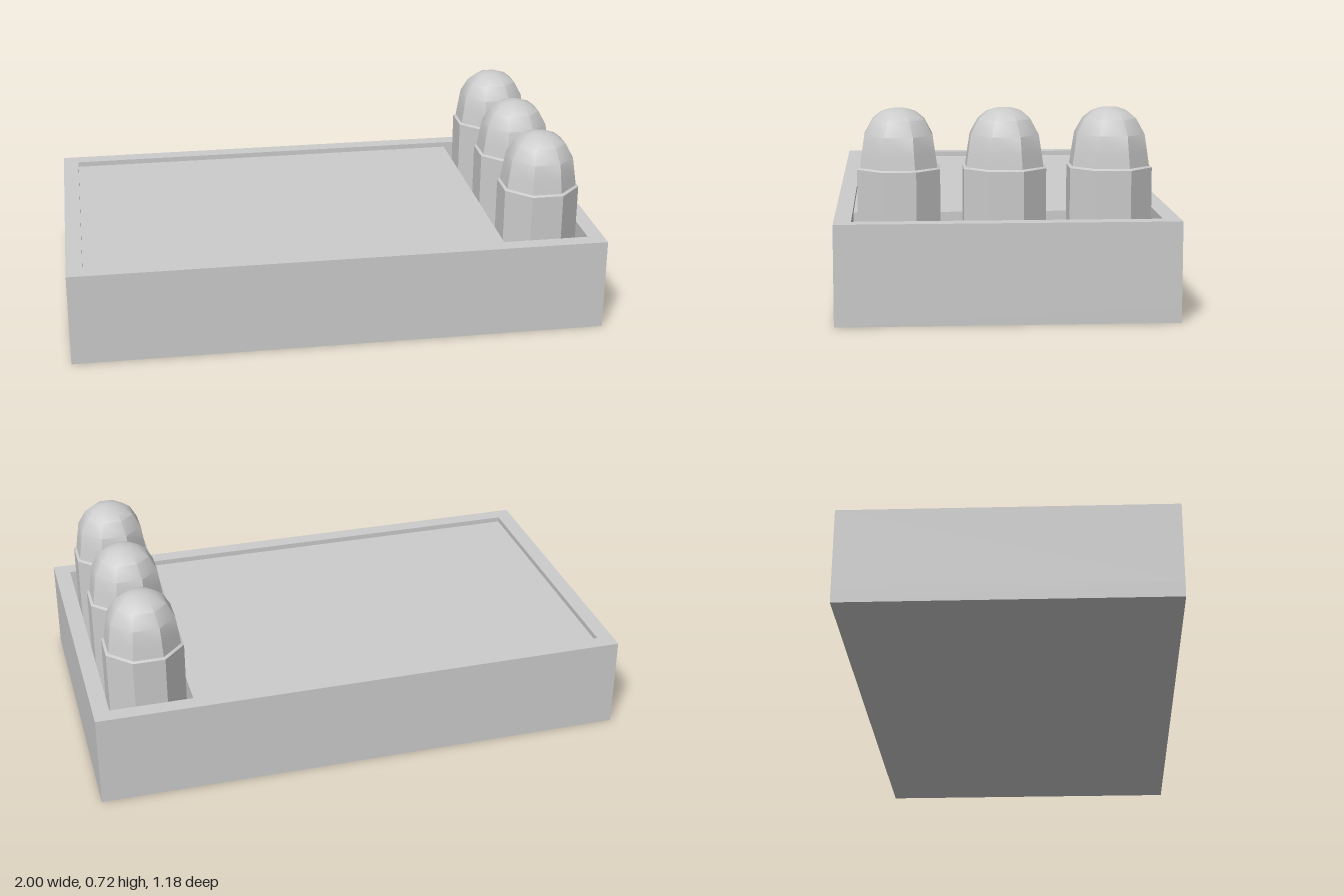
import * as THREE from 'three';
import { toCreasedNormals } from 'three/addons/utils/BufferGeometryUtils.js';

const material = new THREE.MeshStandardMaterial({ color: 0xcccccc });
const FLOOR = 0.06, RIM = 0.35;

function add(parent, name, geometry, x = 0, y = 0, z = 0) {
  const mesh = new THREE.Mesh(geometry, material);
  mesh.name = name;
  mesh.position.set(x, y, z);
  parent.add(mesh);
  return mesh;
}

// Trace a rectangle into a shape or hole path
function rectangle(path, x0, y0, x1, y1) {
  path.moveTo(x0, y0);
  path.lineTo(x1, y0);
  path.lineTo(x1, y1);
  path.lineTo(x0, y1);
  path.closePath();
  return path;
}

// Octagonal turned part with flats facing the axes; profile is [apothem, y]
function octagon(profile) {
  const k = 1 / Math.cos(Math.PI / 8);
  const points = profile.map(([r, y]) => new THREE.Vector2(r * k, y));
  return toCreasedNormals(new THREE.LatheGeometry(points, 8, Math.PI / 8), 0.7);
}

export function createModel() {
  const model = new THREE.Group();
  model.name = 'trayWithCartridges';

  // Tray: floor plate and hollow wall frame
  add(model, 'trayFloor', new THREE.BoxGeometry(2, FLOOR, 1.18), 0, FLOOR / 2, 0);
  const frame = rectangle(new THREE.Shape(), -1, -0.59, 1, 0.59);
  frame.holes.push(rectangle(new THREE.Path(), -0.94, -0.53, 0.94, 0.53));
  const walls = new THREE.ExtrudeGeometry(frame, { depth: RIM - FLOOR, bevelEnabled: false });
  walls.rotateX(-Math.PI / 2);
  add(model, 'trayWalls', walls, 0, FLOOR, 0);

  // Raised panel filling most of the tray, leaving a trough at one end
  const panelHeight = 0.33 - FLOOR;
  add(model, 'panel', new THREE.BoxGeometry(1.57, panelHeight, 1.06), -0.155, FLOOR + panelHeight / 2, 0);

  // Row of cartridges standing in the trough
  const casing = octagon([[0, FLOOR], [0.142, FLOOR], [0.142, 0.513], [0.132, 0.519], [0, 0.519]]);
  const tip = octagon([
    [0.133, 0.517], [0.127, 0.56], [0.117, 0.628], [0.089, 0.681], [0.06, 0.706], [0.03, 0.717], [0, 0.72],
  ]);
  for (const z of [-0.363, 0.003, 0.368]) {
    const cartridge = new THREE.Group();
    cartridge.name = 'cartridge';
    cartridge.position.set(0.783, 0, z);
    add(cartridge, 'casing', casing);
    add(cartridge, 'tip', tip);
    model.add(cartridge);
  }
  return model;
}
